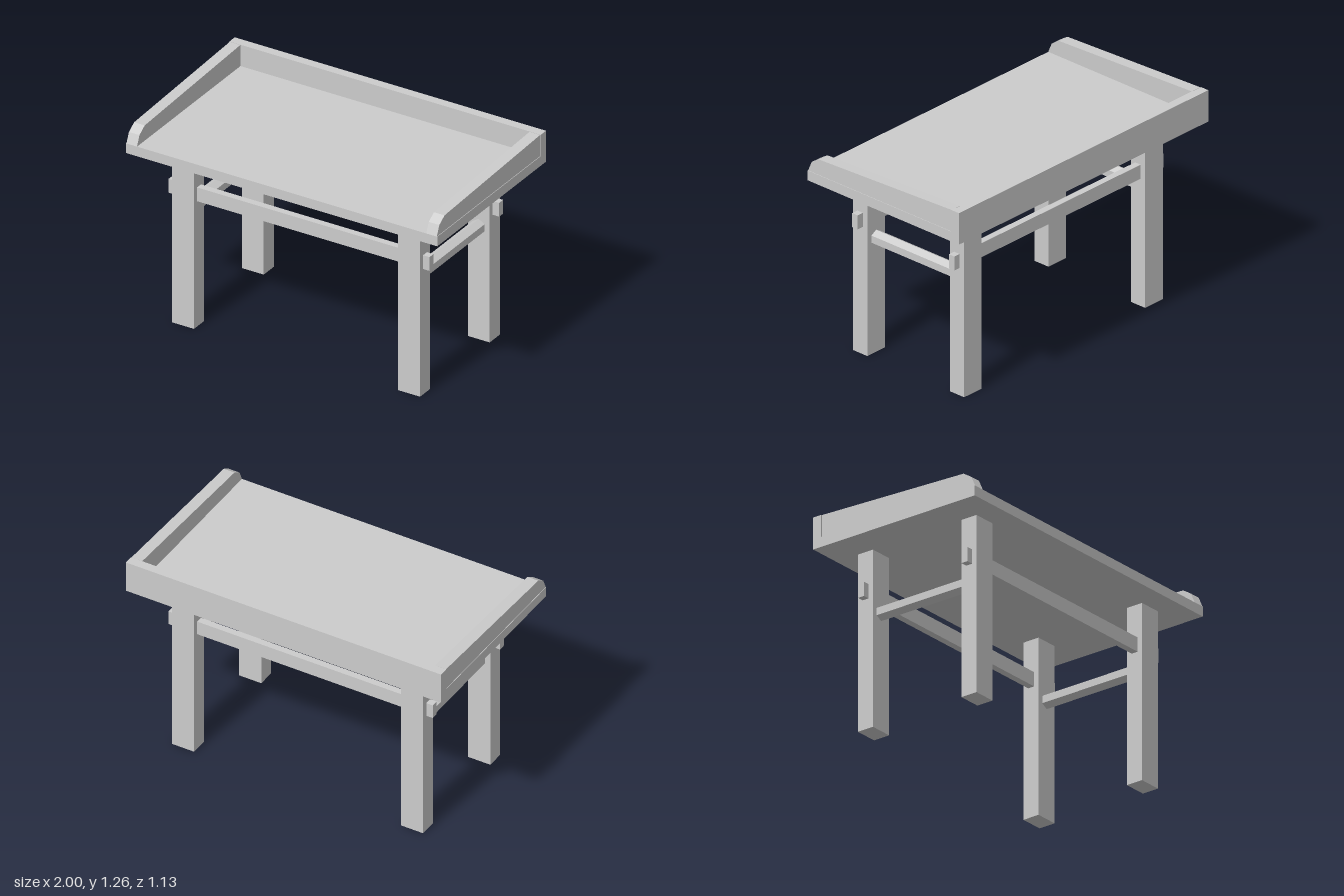
import * as THREE from 'three';

export function createModel() {
  const group = new THREE.Group();
  const material = new THREE.MeshStandardMaterial({ color: 0xcccccc, flatShading: true });

  function add(name, geometry, x, y, z) {
    const mesh = new THREE.Mesh(geometry, material);
    mesh.name = name;
    mesh.position.set(x, y, z);
    group.add(mesh);
    return mesh;
  }
  const box = (name, w, h, d, x, y, z) => add(name, new THREE.BoxGeometry(w, h, d), x, y, z);

  // Table top and the board along its back edge
  box('tableTop', 2, 0.06, 1.126, 0, 1.097, 0);
  box('backBoard', 2, 0.133, 0.055, 0, 1.1935, -0.5355);

  // Side boards: sloping top edge with a clipped front corner.
  // The shape is drawn in (-z, y) and turned so its depth runs along x.
  const profile = new THREE.Shape([
    [-0.563, 1.127], [0.506, 1.127], [0.506, 1.259],
    [-0.483, 1.222], [-0.537, 1.187],
  ].map(([a, b]) => new THREE.Vector2(a, b)));
  const sideGeometry = new THREE.ExtrudeGeometry(profile, { depth: 0.068, bevelEnabled: false });
  sideGeometry.translate(0, 0, -0.034);
  sideGeometry.rotateY(Math.PI / 2);

  // Hexagonal rail lying along z, with an edge on top
  const sideRailGeometry = new THREE.CylinderGeometry(0.0437, 0.0437, 0.616, 6);
  sideRailGeometry.rotateX(Math.PI / 2);

  for (const [side, sx] of [['left', 1], ['right', -1]]) {
    add(side + 'SideBoard', sideGeometry, sx * 0.963, 0, 0);
    add(side + 'Rail', sideRailGeometry, sx * 0.726, 0.706, 0);
    for (const [end, sz] of [['Front', 1], ['Back', -1]]) {
      box(side + end + 'Leg', 0.141, 1.067, 0.105, sx * 0.726, 0.5335, sz * 0.3605);
    }
  }

  // Long rails running through the legs, their ends showing outside
  box('frontRail', 1.676, 0.086, 0.041, 0, 0.825, 0.362);
  box('backRail', 1.676, 0.086, 0.041, 0, 0.825, -0.359);

  return group;
}
